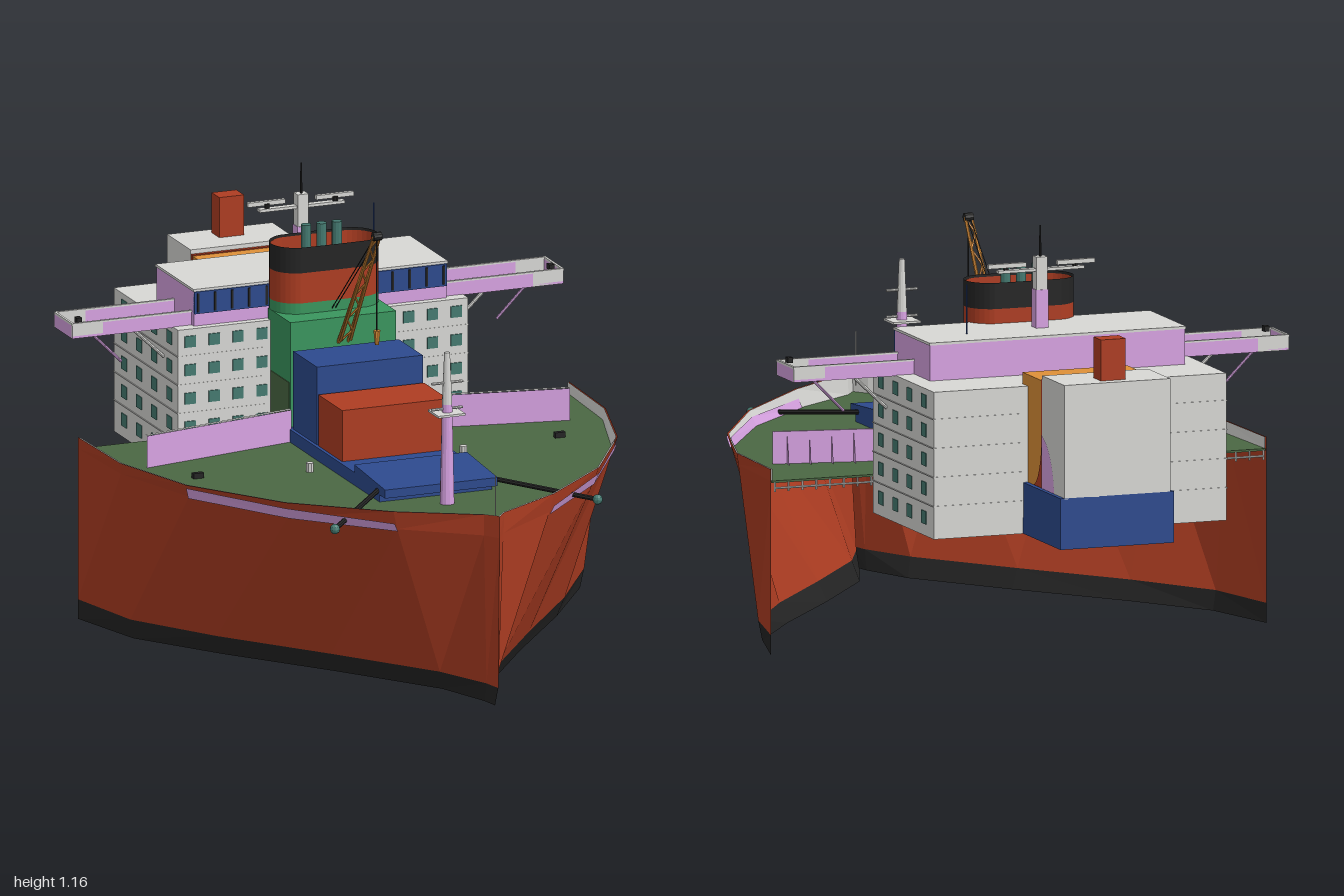
import * as THREE from 'three';

const mat = (name, color) => {
  const m = new THREE.MeshStandardMaterial({ color, side: THREE.DoubleSide, flatShading: true });
  m.name = name;
  return m;
};

export function createModel() {
  const root = new THREE.Group();
  root.name = 'ship';
  const red = mat('hull red', 0xae3d22), black = mat('black', 0x242424), deckGreen = mat('deck green', 0x4b6843);
  const green = mat('green', 0x3a965e), blue = mat('blue', 0x2d4a8e), grey = mat('light grey', 0xd8d8d5);
  const lilac = mat('lilac', 0xd8a3e3), orange = mat('orange', 0xde9038), teal = mat('teal', 0x457a71);

  const add = (name, geo, m) => {
    const mesh = new THREE.Mesh(geo, m);
    mesh.name = name;
    root.add(mesh);
    return mesh;
  };
  // Box from its lower and upper bounds on each axis
  const box = (name, m, x0, x1, y0, y1, z0, z1) =>
    add(name, new THREE.BoxGeometry(Math.abs(x1 - x0), y1 - y0, z1 - z0)
      .translate((x0 + x1) / 2, (y0 + y1) / 2, (z0 + z1) / 2), m);
  // Round bar between two points
  const bar = (name, m, a, b, r0, r1 = r0, n = 8) => {
    const p = new THREE.Vector3(...a), q = new THREE.Vector3(...b), d = q.clone().sub(p);
    const mesh = add(name, new THREE.CylinderGeometry(r1, r0, d.length(), n), m);
    mesh.position.copy(p).add(q).multiplyScalar(0.5);
    mesh.quaternion.setFromUnitVectors(new THREE.Vector3(0, 1, 0), d.normalize());
    return mesh;
  };
  // Plan shape (x, z) extruded downward from yTop
  const slab = (name, m, shape, yTop, depth) =>
    add(name, new THREE.ExtrudeGeometry(shape, { depth, bevelEnabled: false })
      .rotateX(Math.PI / 2).translate(0, yTop, 0), m);
  // Skin between a lower and an upper plan path, with a height rule for each edge
  const wall = (name, m, lower, upper, low, high) => {
    const v = [];
    const at = ([x, z], f) => [x, f(z), z];
    for (let i = 0; i < lower.length - 1; i++) {
      const a0 = at(lower[i], low), b0 = at(lower[i + 1], low);
      const a1 = at(upper[i], high), b1 = at(upper[i + 1], high);
      v.push(...a0, ...a1, ...b0, ...a1, ...b1, ...b0);
    }
    const g = new THREE.BufferGeometry();
    g.setAttribute('position', new THREE.Float32BufferAttribute(v, 3));
    g.computeVertexNormals();
    return add(name, g, m);
  };
  const rectShape = (x0, x1, z0, z1, C = THREE.Shape) =>
    new C([[x0, z0], [x1, z0], [x1, z1], [x0, z1]].map(p => new THREE.Vector2(...p)));
  const mirrored = half => [...half, ...half.slice(0, -1).reverse().map(([x, z]) => [-x, z])];

  // Hull: open shell, flaring from a fine waterline to a full deck
  const outline = mirrored([[0.72, -0.26], [0.712, 0.02], [0.632, 0.30], [0.46, 0.585], [0.235, 0.81], [0.03, 0.955], [0, 0.995]]);
  const waterline = mirrored([[0.72, -0.26], [0.665, -0.02], [0.51, 0.22], [0.29, 0.5], [0.085, 0.775], [0.012, 0.93], [0, 0.985]]);
  const keel = mirrored([[0.72, -0.26], [0.655, -0.025], [0.49, 0.21], [0.27, 0.485], [0.07, 0.755], [0.01, 0.91], [0, 0.962]]);
  const sheer = z => 0.512 + 0.03 * Math.max(0, z) ** 2;
  const DECK = 0.48;
  const section = t => outline.map((p, i) => p.map((v, k) => THREE.MathUtils.lerp(waterline[i][k], v, t)));
  const deckLine = section(0.92);
  const scaled = (path, f) => path.map(([x, z]) => [x * f, z > 0 ? z * f : z]);
  wall('hullBottomBand', black, keel, waterline, () => 0, () => 0.055);
  wall('hullSides', red, waterline, deckLine, () => 0.055, () => DECK);
  wall('bulwark', red, deckLine, outline, () => DECK, sheer);
  wall('bulwarkInside', grey, scaled(deckLine, 0.994), scaled(outline, 0.994), () => DECK, sheer);
  slab('deck', deckGreen, new THREE.Shape(scaled(deckLine, 0.996).map(p => new THREE.Vector2(...p))), DECK, 0.006);
  bar('bowStaff', grey, [0, 0.5, 0.965], [0, 0.65, 0.965], 0.002);

  // Blue frame running under the whole length
  const ring = rectShape(-0.165, 0.165, -1, 0.54);
  ring.holes.push(rectShape(-0.11, 0.11, -0.94, 0.4, THREE.Path));
  slab('keelFrame', blue, ring, 0.512, 0.137);
  box('frameTop', blue, -0.165, 0.165, 0.5, 0.516, -1, 0.58);
  const hatch = box('foreHatch', blue, -0.165, 0.165, 0.516, 0.538, 0.36, 0.58);
  const hp = hatch.geometry.attributes.position;
  for (let i = 0; i < hp.count; i++) if (hp.getZ(i) > 0.5 && hp.getY(i) > 0.53) hp.setY(i, 0.524);

  // Stacked deck blocks
  box('frontBlock', red, -0.155, 0.155, 0.512, 0.66, 0.08, 0.25);
  box('middleBlock', blue, -0.155, 0.155, 0.512, 0.735, -0.1, 0.07);
  box('rearBlock', green, -0.155, 0.155, 0.512, 0.81, -0.278, -0.12);

  // Oval open funnel: thin colour bands with a red lining
  const oval = r => Array.from({ length: 33 }, (_, i) => {
    const a = i / 32 * Math.PI * 2, c = Math.cos(a);
    return [r * c + 0.083 * (Math.abs(c) < 1e-6 ? 0 : Math.sign(c)), -0.258 + r * Math.sin(a)];
  });
  const tube = (name, m, r, y0, y1) => wall(name, m, oval(r), oval(r), () => y0, () => y1);
  tube('funnelBase', green, 0.072, 0.79, 0.84);
  tube('funnelMiddle', red, 0.072, 0.84, 0.925);
  tube('funnelTop', black, 0.072, 0.925, 0.997);
  tube('funnelLining', red, 0.0695, 0.82, 0.99);
  for (const x of [-0.045, 0, 0.045])
    bar('exhaustPipe', teal, [x, 0.8, -0.275], [x, 1.035, -0.275], 0.014, 0.014, 12);

  // Accommodation block: centre over the frame, with hollow sides
  box('accommodationCentre', grey, -0.165, 0.165, 0.512, 0.78, -0.72, -0.263);
  for (const s of [-1, 1]) {
    box('accommodationSide', grey, s * 0.165, s * 0.425, 0.42, 0.78, -0.72, -0.263);
    const rim = rectShape(0.166, 0.425, -0.72, -0.263);
    rim.holes.push(rectShape(0.176, 0.415, -0.71, -0.273, THREE.Path));
    slab('accommodationRim', grey, rim, 0.421, 0.046).position.x = s < 0 ? -0.591 : 0;
    for (let row = 0; row < 5; row++) {
      const y = 0.745 - row * 0.08;
      for (let c = 0; c < 4; c++) {
        const z = -0.325 - c * 0.107, x = s * (0.18 + c * 0.07);
        box('sideWindow', teal, s * 0.424, s * 0.427, y - 0.018, y + 0.018, z - 0.018, z + 0.018);
        box('frontWindow', teal, x - 0.016, x + 0.016, y - 0.016, y + 0.016, -0.264, -0.26);
      }
      if (row) box('floorLedge', grey, s * 0.17, s * 0.427, y + 0.038, y + 0.041, -0.722, -0.262);
    }
  }

  // Bridge with front windows
  box('bridge', lilac, -0.37, 0.37, 0.78, 0.878, -0.55, -0.285);
  box('bridgeRoof', grey, -0.373, 0.373, 0.878, 0.885, -0.553, -0.28);
  box('bridgeWindows', blue, -0.37, 0.37, 0.815, 0.877, -0.286, -0.279);
  for (const s of [-1, 1]) {
    const X = v => s * v;
    for (let i = 0; i < 5; i++) {
      const x = X(0.16 + i * 0.05);
      box('windowPost', black, x - 0.003, x + 0.003, 0.82, 0.873, -0.28, -0.276);
    }
    box('rearBlockPanel', deckGreen, X(0.155), X(0.157), 0.517, 0.64, -0.258, -0.125);
    // Bridge wing: open tray with braces
    box('wingFloor', lilac, X(0.37), X(0.72), 0.778, 0.785, -0.43, -0.3);
    for (const z of [-0.43, -0.306]) {
      box('wingWall', lilac, X(0.37), X(0.63), 0.778, 0.818, z, z + 0.006);
      box('wingOuterWall', grey, X(0.63), X(0.72), 0.778, 0.818, z, z + 0.006);
      box('wingRail', grey, X(0.37), X(0.72), 0.816, 0.821, z - 0.001, z + 0.007);
    }
    box('wingEnd', lilac, X(0.714), X(0.7205), 0.783, 0.815, -0.425, -0.305);
    box('wingEndRail', grey, X(0.714), X(0.721), 0.815, 0.821, -0.43, -0.3);
    box('wingLight', black, X(0.685), X(0.7), 0.815, 0.83, -0.335, -0.315);
    bar('wingBrace', grey, [X(0.425), 0.68, -0.365], [X(0.53), 0.78, -0.365], 0.005);
    bar('wingOuterBrace', lilac, [X(0.55), 0.68, -0.365], [X(0.65), 0.78, -0.365], 0.004);

    // Breakwater across the deck, capped and ribbed behind
    const water = [[X(0.16), -0.1], [X(0.62), -0.01]];
    wall('breakwater', lilac, water, water, () => DECK, () => 0.57);
    wall('breakwaterCap', grey, water, water.map(([x, z]) => [x, z - 0.012]), () => 0.571, () => 0.571);
    for (let i = 0; i < 7; i++) {
      const x = 0.22 + i * 0.06, z = -0.1 + (x - 0.16) * 0.196, rib = [[X(x), z], [X(x + 0.005), z - 0.03]];
      wall('breakwaterRib', lilac, rib, [rib[0], rib[0]], () => DECK, () => 0.56);
    }
    // Lilac patch on both faces of the bulwark, following the plating
    const patch = (t, f) => scaled(section(t).slice(2, 5), f).map(([x, z]) => [X(x), z]);
    wall('sidePatch', lilac, patch(0.91, 1.006), patch(0.98, 1.006), () => 0.475, z => 0.506 - 0.008 * (z > 0.8));
    wall('innerPatch', lilac, patch(0.92, 0.989), patch(0.98, 0.989), () => DECK, () => 0.505);
    // Mooring boom
    bar('mooringBoom', black, [X(0.15), 0.51, 0.51], [X(0.385), 0.485, 0.757], 0.007);
    add('boomEnd', new THREE.SphereGeometry(0.014, 10, 6), teal).position.set(X(0.385), 0.485, 0.757);
    // Small deck fittings
    box('deckVent', black, X(0.515), X(0.545), DECK, 0.495, 0.125, 0.14);
    bar('bollard', grey, [X(0.225), DECK, 0.19], [X(0.225), 0.505, 0.19], 0.011);
    // Rail along the after edge of the deck
    bar('afterRail', grey, [X(0.425), 0.46, -0.262], [X(0.71), 0.46, -0.262], 0.003);
    for (let i = 0; i < 8; i++)
      bar('railPost', grey, [X(0.43 + i * 0.04), 0.45, -0.262], [X(0.43 + i * 0.04), 0.476, -0.262], 0.003, 0.003, 6);
  }

  // Stern tower, set in slightly from the frame
  box('sternOrangeBlock', orange, -0.152, 0.152, 0.512, 0.812, -0.825, -0.68);
  box('sternStripe', red, -0.153, 0.153, 0.512, 0.815, -0.835, -0.822);
  box('sternBlock', grey, -0.154, 0.154, 0.512, 0.827, -1, -0.833);
  box('sternChimney', red, -0.036, 0.036, 0.827, 0.94, -0.97, -0.915);
  const arch = new THREE.Shape();
  arch.moveTo(0.833, 0.517);
  arch.lineTo(0.928, 0.517);
  arch.quadraticCurveTo(0.915, 0.63, 0.833, 0.665);
  const curve = new THREE.Shape();
  curve.moveTo(0.77, 0.517);
  curve.lineTo(0.83, 0.517);
  curve.lineTo(0.83, 0.66);
  curve.quadraticCurveTo(0.82, 0.54, 0.77, 0.517);
  for (const x of [-1, 1]) {
    add('sternPatch', new THREE.ShapeGeometry(arch).rotateY(Math.PI / 2), lilac).position.x = x * 0.156;
    add('sternCurve', new THREE.ShapeGeometry(curve).rotateY(Math.PI / 2), red).position.x = x * 0.154;
  }

  // Foremast
  bar('foremast', lilac, [0, DECK, 0.62], [0, 0.76, 0.62], 0.02, 0.014, 12);
  bar('foremastTop', grey, [0, 0.76, 0.62], [0, 0.905, 0.62], 0.014, 0.008, 12);
  box('foremastPlatform', grey, -0.04, 0.04, 0.732, 0.738, 0.58, 0.655);
  for (const y of [0.747, 0.82]) bar('foremastArm', grey, [-0.045, y, 0.62], [0.045, y, 0.62], 0.004);

  // Radar mast
  box('radarMast', lilac, -0.018, 0.018, 0.885, 0.99, -0.437, -0.403);
  box('radarMastTop', grey, -0.016, 0.016, 0.99, 1.08, -0.435, -0.405);
  box('radarYard', grey, -0.125, 0.125, 1.04, 1.048, -0.43, -0.41);
  for (const s of [-1, 1]) {
    bar('radarStem', black, [s * 0.1, 1.045, -0.42], [s * 0.1, 1.06, -0.42], 0.008);
    box('radarScanner', grey, s * 0.045, s * 0.155, 1.055, 1.067, -0.433, -0.421);
  }
  bar('mastAerial', black, [0, 1.08, -0.42], [0, 1.165, -0.42], 0.004, 0.002);
  bar('whipAerial', blue, [0.225, 0.885, -0.45], [0.225, 1.02, -0.45], 0.002);

  // Lattice crane: slim four-chord boom over the deck blocks
  const boomPoint = (t, s, u) => [s * (0.015 - 0.006 * t), 0.74 + 0.36 * t + u * 0.008, -0.115 + 0.235 * t + u * 0.012];
  for (const s of [-1, 1]) {
    for (const u of [-1, 1]) bar('craneBoom', orange, boomPoint(0, s, u), boomPoint(1, s, 0), 0.004, 0.004, 6);
    bar('craneCable', black, [s * 0.005, 0.815, -0.19], [s * 0.005, 1.1, 0.12], 0.0015, 0.0015, 5);
  }
  for (let i = 0; i < 9; i++) {
    const s = i % 2 ? 1 : -1;
    bar('craneLacing', orange, boomPoint(i / 9, s, 0), boomPoint((i + 1) / 9, -s, 0), 0.003, 0.003, 5);
  }
  bar('craneHead', black, [-0.012, 1.1, 0.12], [0.012, 1.1, 0.12], 0.012, 0.012, 10);
  bar('hoistCable', black, [0, 1.1, 0.12], [0, 0.83, 0.12], 0.002);
  bar('craneHook', orange, [0, 0.795, 0.12], [0, 0.835, 0.12], 0.006, 0.01);

  // Machinery beneath the frame
  box('enginePanel', grey, -0.109, 0.109, 0.462, 0.472, -0.93, -0.3);
  for (const s of [-1, 1]) box('engineRail', teal, s * 0.07, s * 0.1, 0.39, 0.45, -0.42, 0.2);
  for (const z of [-0.42, 0.13]) box('engineEnd', teal, -0.07, 0.07, 0.4, 0.45, z, z + 0.07);
  box('engineBed', black, -0.07, 0.07, 0.43, 0.47, -0.36, 0.16);
  [red, lilac, orange, blue, red, lilac].forEach((m, i) => {
    const z = -0.3 + i * 0.075;
    bar('engineDrum', m, [-0.05, 0.415, z], [0.05, 0.415, z], 0.026, 0.026, 10);
  });
  return root;
}
